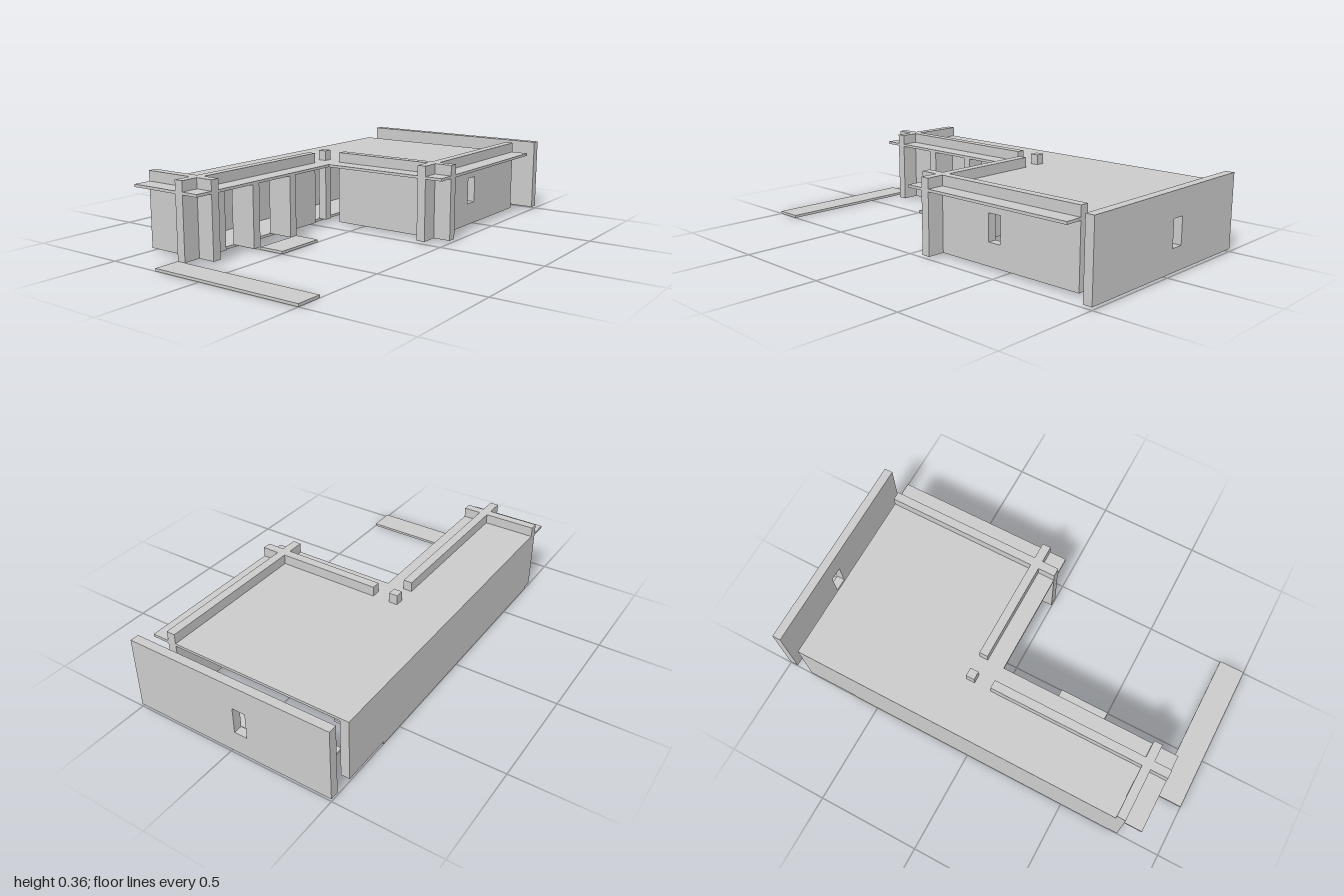
import * as THREE from 'three';

const T = 1 / 24;        // wall thickness
const FLOOR = 0.0125;    // top of the ground slabs
const CEIL = 0.3;        // underside of the roof
const ROOF = 0.3125;     // top of the roof
const TOP = 0.36;        // top of the upstand walls

export function createModel() {
  const model = new THREE.Group();
  model.name = 'courtyardHouse';
  const material = new THREE.MeshStandardMaterial({ color: 0xcccccc, side: THREE.DoubleSide });

  const add = (name, geometry) => {
    const mesh = new THREE.Mesh(geometry, material);
    mesh.name = name;
    model.add(mesh);
    return mesh;
  };

  // Box given by its limits on each axis
  const block = (name, x0, x1, y0, y1, z0, z1) => {
    const g = new THREE.BoxGeometry(x1 - x0, y1 - y0, z1 - z0);
    g.translate((x0 + x1) / 2, (y0 + y1) / 2, (z0 + z1) / 2);
    return add(name, g);
  };

  // Upright panel with one small window; a is the horizontal axis
  const windowPanel = (a0, a1, w0, w1) => {
    const rect = (C, l, r, b, t) => new C([[l, b], [r, b], [r, t], [l, t]].map(p => new THREE.Vector2(...p)));
    const shape = rect(THREE.Shape, a0, a1, FLOOR, TOP);
    shape.holes.push(rect(THREE.Path, w0, w1, 0.118, 0.243));
    return new THREE.ExtrudeGeometry(shape, { depth: T, bevelEnabled: false });
  };

  // L-shaped roof slab
  const outline = [[-0.5, -0.875], [0.5, -0.875], [0.5, 0], [-0.125, 0], [-0.125, 0.875], [-0.5, 0.875]];
  const roof = new THREE.ExtrudeGeometry(
    new THREE.Shape(outline.map(p => new THREE.Vector2(...p))),
    { depth: ROOF - CEIL, bevelEnabled: false });
  roof.rotateX(Math.PI / 2).translate(0, ROOF, 0);
  add('roof', roof);

  // Ground slabs
  block('mainFloor', -0.5, -0.25, 0, FLOOR, -0.625, 0.75);
  block('rearFloorStrip', -0.375, 0.25, 0, FLOOR, -0.875, -0.75);
  block('doorStep', -0.125, 0, 0, FLOOR, 0.25, 0.5);
  block('frontTerrace', -0.25, 0.5, 0, FLOOR, 0.875, 1);

  // Free-standing rear wall with window
  add('rearWall', windowPanel(-0.5, 0.5, -0.093, -0.03).translate(0, 0, -1));

  // Side wall with window, running through the roof
  add('leftWall', windowPanel(-0.875, 0, -0.465, -0.4).rotateY(-Math.PI / 2).translate(0.375 + T, 0, 0));

  // Other walls
  block('rightWall', -0.5, -0.5 + T, FLOOR, CEIL, -0.875, 0.75);
  block('courtyardWall', -0.125, 0.5, FLOOR, TOP, -0.125, -0.125 + T);
  block('frontWall', -0.5, -0.125, FLOOR, TOP, 0.75, 0.75 + T);

  // Courtyard side of the long wing: wall pieces, cross fins and upstand
  const wx = -0.25;
  block('wingWallRear', wx, wx + T, FLOOR, CEIL, 0, 0.25);
  block('wingWallFront', wx, wx + T, FLOOR, CEIL, 0.63, 0.75);
  block('cornerFin', wx, wx + T, FLOOR, TOP, 0.75, 0.875);
  block('wingUpstand', wx, wx + T, ROOF, TOP, 0, 0.75);
  for (const z of [0.25, 0.5]) block('doorFin', wx, -0.125, FLOOR, CEIL, z, z + T);

  // Column at the inner corner, rising through the roof
  block('innerColumn', wx, wx + T, FLOOR, TOP, -0.125, -0.125 + T);

  return model;
}
